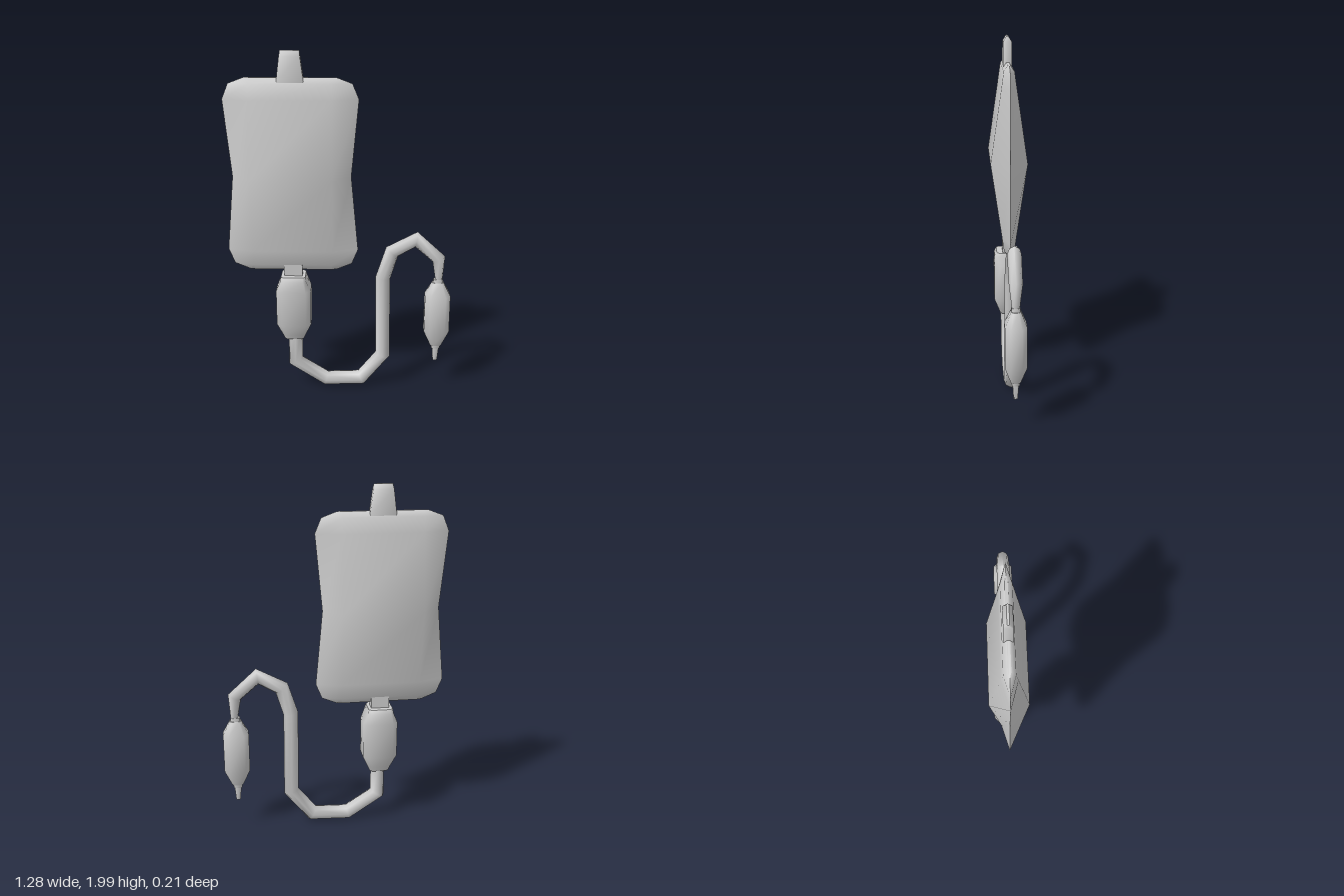
import * as THREE from 'three';
import { toCreasedNormals } from 'three/addons/utils/BufferGeometryUtils.js';

const material = new THREE.MeshStandardMaterial({ color: 0xcccccc });

// Skin a list of equal-length rings, each counter-clockwise about the travel direction
function loft(name, rings, crease = 1.0) {
  const n = rings[0].length;
  const verts = rings.flat();
  const index = [];
  for (let r = 0; r < rings.length - 1; r++) {
    for (let i = 0; i < n; i++) {
      const a = r * n + i, b = r * n + (i + 1) % n;
      index.push(a, b, b + n, a, b + n, a + n);
    }
  }
  // end caps as fans
  const last = (rings.length - 1) * n;
  for (let i = 1; i < n - 1; i++) {
    index.push(0, i + 1, i, last, last + i, last + i + 1);
  }
  const geometry = new THREE.BufferGeometry().setFromPoints(verts);
  geometry.setIndex(index);
  const mesh = new THREE.Mesh(toCreasedNormals(geometry, crease), material);
  mesh.name = name;
  return mesh;
}

const ringAt = (cx, y, pts) => pts.map(([x, z]) => new THREE.Vector3(cx + x, y, z));

// Hexagonal section with a sharp rim on each side
const lens = (cx, y, w, inner, t) =>
  ringAt(cx, y, [[w, 0], [inner, -t], [-inner, -t], [-w, 0], [-inner, t], [inner, t]]);

// Rectangle with cut corners
const block = (cx, y, hx, hz, c) =>
  ringAt(cx, y, [[hx, hz - c], [hx, c - hz], [hx - c, -hz], [c - hx, -hz],
    [-hx, c - hz], [-hx, hz - c], [c - hx, hz], [hx - c, hz]]);

// Eight-sided tube in the xy plane with mitred bends; stations are [x, y, radius]
function tubeRings(stations, sides = 8) {
  const pts = stations.map(([x, y]) => new THREE.Vector2(x, y));
  return stations.map(([x, y, r], i) => {
    const before = pts[i].clone().sub(pts[Math.max(i - 1, 0)]).normalize();
    const after = pts[Math.min(i + 1, pts.length - 1)].clone().sub(pts[i]).normalize();
    const d = before.clone().add(after).normalize();
    const mitre = r / Math.max(d.dot(i ? before : after), 0.5);
    return Array.from({ length: sides }, (_, k) => {
      const a = (k / sides) * Math.PI * 2;
      const s = Math.cos(a) * mitre;
      return new THREE.Vector3(x + d.y * s, y - d.x * s, -Math.sin(a) * r);
    });
  });
}

export function createModel() {
  const model = new THREE.Group();
  model.name = 'infusionSet';
  const bagX = -0.27, valveX = 0.563;

  // Fluid bag: pinched at the waist, thickest halfway up
  model.add(loft('bag', [
    [0.76, 0.25, 0.22, 0.008], [0.795, 0.335, 0.225, 0.03], [0.88, 0.37, 0.225, 0.042],
    [1.31, 0.33, 0.225, 0.105],
    [1.74, 0.37, 0.225, 0.042], [1.825, 0.335, 0.225, 0.03], [1.857, 0.25, 0.22, 0.008],
  ].map(([y, w, inner, t]) => lens(bagX, y, w, inner, t))));

  // Hanging tab on top of the bag
  model.add(loft('hangerTab', [
    [1.8, 0.076, 0.025], [1.84, 0.073, 0.025], [1.97, 0.056, 0.024], [2.0, 0.052, 0.006],
  ].map(([y, hx, hz]) => block(bagX, y, hx, hz, 0.005))));

  // Outlet neck under the bag
  const neck = new THREE.Mesh(new THREE.BoxGeometry(0.104, 0.12, 0.06), material);
  neck.name = 'outletNeck';
  neck.position.set(bagX, 0.75, 0);
  model.add(neck);

  // Drip chamber
  model.add(loft('dripChamber', [
    [0.33, 0.055, 0.045, 0.015], [0.36, 0.068, 0.055, 0.02], [0.43, 0.1, 0.08, 0.03],
    [0.64, 0.1, 0.08, 0.03], [0.705, 0.073, 0.078, 0.015], [0.728, 0.07, 0.065, 0.015],
  ].map(([y, hx, hz, c]) => block(bagX, y, hx, hz, c))));

  // Hose running down, along the bottom and up over to the valve
  model.add(loft('hose', tubeRings([
    [-0.265, 0.36, 0.041], [-0.265, 0.17, 0.041], [-0.085, 0.053, 0.042],
    [0.125, 0.061, 0.042], [0.25, 0.217, 0.042], [0.245, 0.71, 0.042],
    [0.295, 0.87, 0.041], [0.432, 0.945, 0.038], [0.563, 0.828, 0.036],
    [0.568, 0.695, 0.02],
  ]), 1.3));

  // Valve at the hose end with collars above and below
  const octagon = (y, hx, hz) => block(valveX, y, hx, hz, hz * 0.5);
  model.add(loft('valveBody', [
    [0.285, 0.032, 0.026], [0.38, 0.073, 0.058], [0.605, 0.073, 0.058], [0.685, 0.032, 0.026],
  ].map((row) => octagon(...row))));
  for (const [name, y0, y1, h0, h1] of [
    ['upperCollar', 0.68, 0.705, 0.028, 0.026],
    ['lowerCollar', 0.265, 0.29, 0.024, 0.028],
    ['nozzle', 0.185, 0.27, 0.013, 0.02],
  ]) {
    model.add(loft(name, [octagon(y0, h0, h0 * 0.85), octagon(y1, h1, h1 * 0.85)]));
  }

  return model;
}
